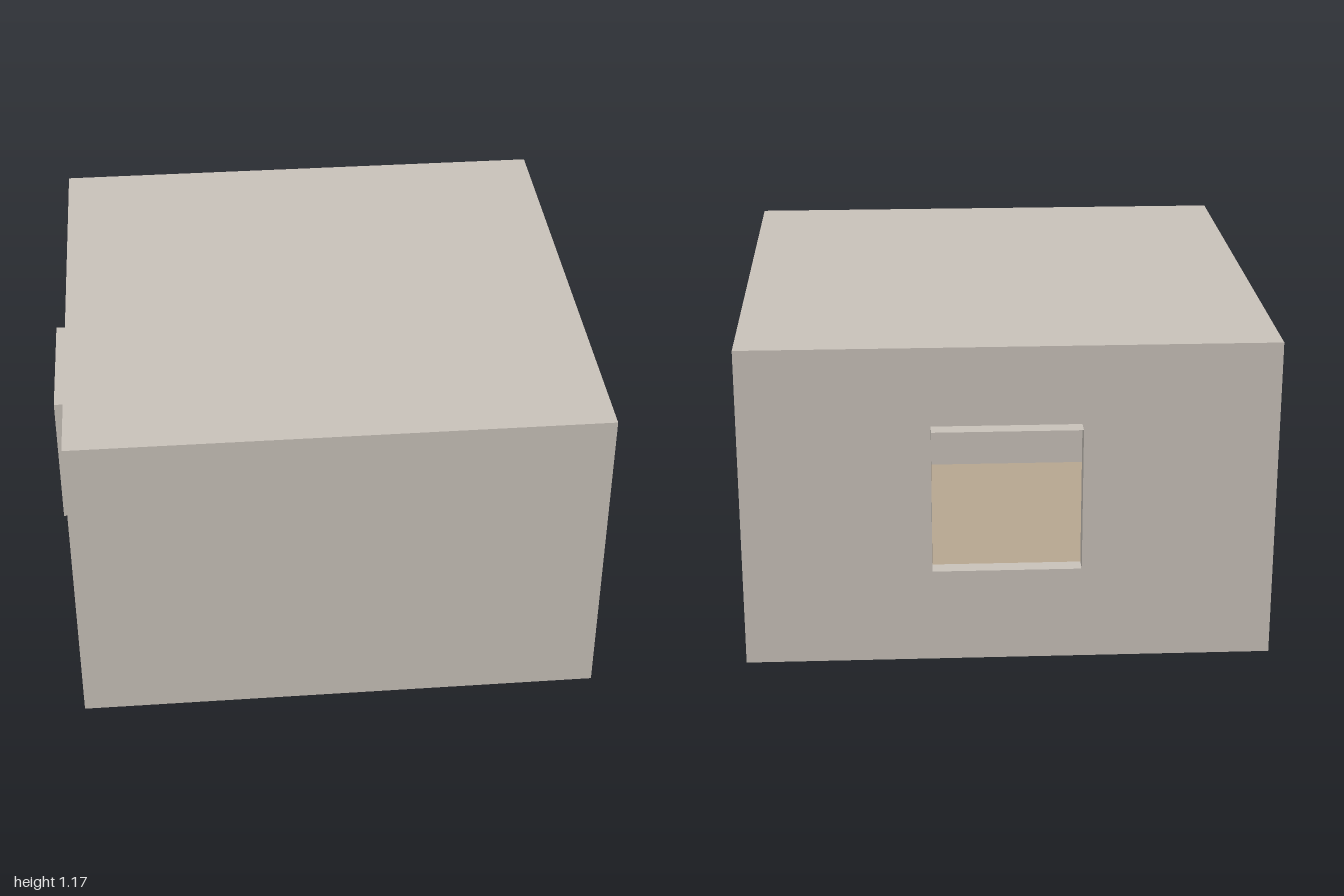
import * as THREE from 'three';

const HALF = 0.94;      // half the side of the square room
const HEIGHT = 1.175;
const CENTRE_Z = 0.03;
const DEPTH = 0.06;     // how far the opening surrounds stand out

const wallMat = new THREE.MeshStandardMaterial({ color: 0xc8c1b9, side: THREE.DoubleSide });
wallMat.name = 'plaster';
const floorMat = new THREE.MeshStandardMaterial({ color: 0xb6a68f, side: THREE.DoubleSide });
floorMat.name = 'floor tan';

function sheet(name, width, height, material, position, rotation) {
  const mesh = new THREE.Mesh(new THREE.PlaneGeometry(width, height), material);
  mesh.name = name;
  mesh.position.set(...position);
  mesh.rotation.set(...rotation);
  return mesh;
}

// Wall sheet facing local +z, with an optional opening and its surround
function makeWall(name, turn, opening) {
  const group = new THREE.Group();
  group.name = name;
  const shape = new THREE.Shape();
  shape.moveTo(-HALF, 0);
  if (opening) {
    const { x, bottom, top, width } = opening;
    const l = x - width / 2, r = x + width / 2;
    const corners = [[l, bottom], [l, top], [r, top], [r, bottom]].map((p) => new THREE.Vector2(...p));
    if (bottom === 0) corners.forEach((p) => shape.lineTo(p.x, p.y)); // doorway notch
    else shape.holes.push(new THREE.Path(corners));

    // Thin surround sheets standing out from the wall
    const h = top - bottom, mid = (top + bottom) / 2;
    group.add(sheet('leftJamb', DEPTH, h, wallMat, [l, mid, DEPTH / 2], [0, -Math.PI / 2, 0]));
    group.add(sheet('rightJamb', DEPTH, h, wallMat, [r, mid, DEPTH / 2], [0, Math.PI / 2, 0]));
    group.add(sheet('lintel', width, DEPTH, wallMat, [x, top, DEPTH / 2], [-Math.PI / 2, 0, 0]));
    if (bottom > 0) {
      group.add(sheet('sill', width, DEPTH, wallMat, [x, bottom, DEPTH / 2], [-Math.PI / 2, 0, 0]));
    }
  }
  shape.lineTo(HALF, 0);
  shape.lineTo(HALF, HEIGHT);
  shape.lineTo(-HALF, HEIGHT);
  const panel = new THREE.Mesh(new THREE.ShapeGeometry(shape), wallMat);
  panel.name = 'wallPanel';
  group.add(panel);

  group.rotation.y = turn;
  group.position.set(Math.sin(turn) * HALF, 0, Math.cos(turn) * HALF);
  return group;
}

export function createModel() {
  const model = new THREE.Group();
  const room = new THREE.Group();
  room.name = 'room';
  room.position.z = CENTRE_Z;
  model.add(room);

  // Walls
  room.add(makeWall('frontWall', 0));
  room.add(makeWall('doorWall', Math.PI / 2, { x: 0, bottom: 0, top: 0.89, width: 0.524 }));
  room.add(makeWall('backWindowWall', Math.PI, { x: -0.01, bottom: 0.37, top: 0.89, width: 0.524 }));
  room.add(makeWall('sideWindowWall', -Math.PI / 2, { x: 0, bottom: 0.37, top: 0.89, width: 0.524 }));

  // Flat roof and floor
  room.add(sheet('roof', 2 * HALF, 2 * HALF, wallMat, [0, HEIGHT, 0], [-Math.PI / 2, 0, 0]));
  room.add(sheet('floor', 2 * HALF, 2 * HALF, floorMat, [0, 0, 0], [-Math.PI / 2, 0, 0]));
  return model;
}
